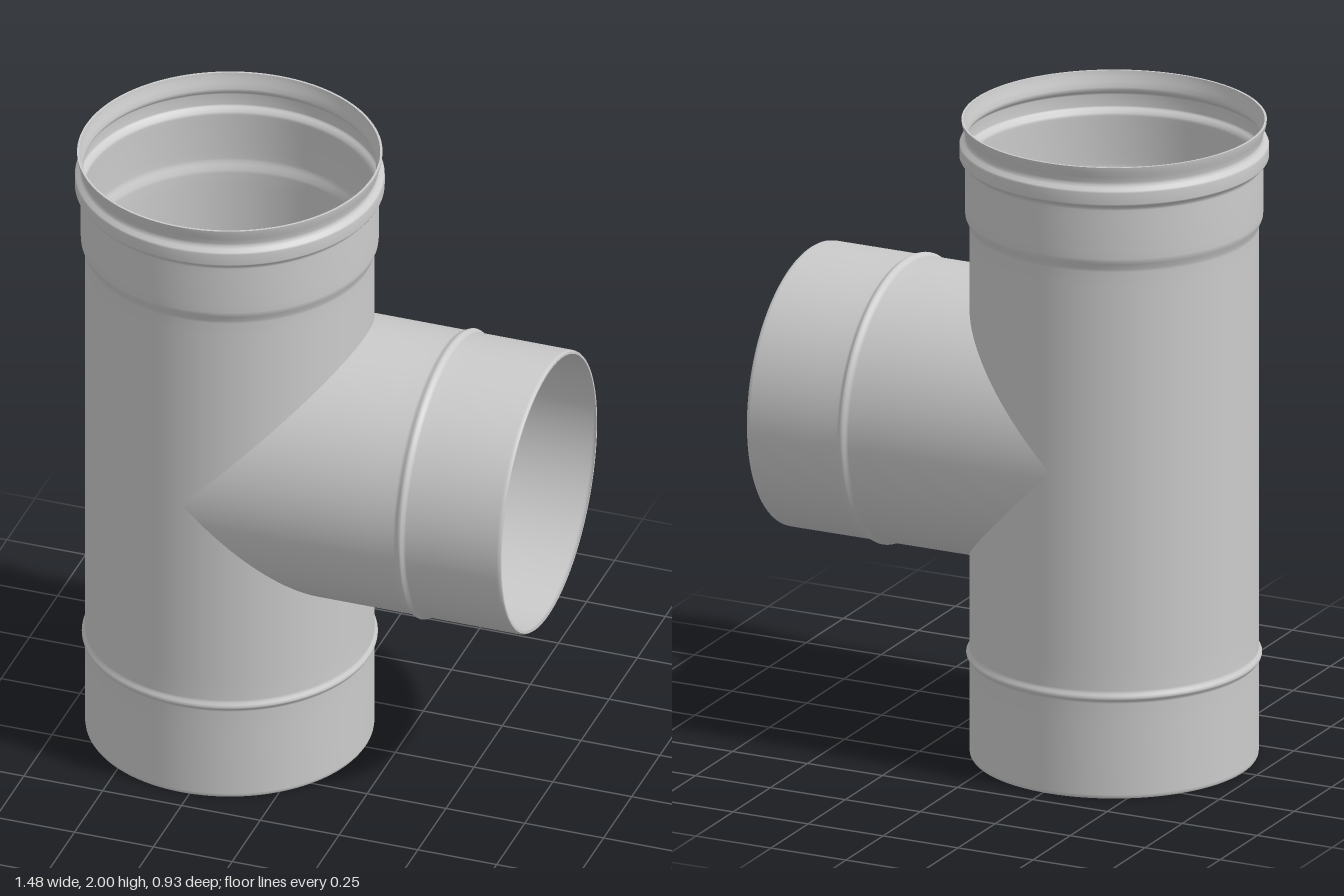
import * as THREE from 'three';

const R = 0.4325;       // pipe radius
const WALL = 0.007;     // sheet thickness
const AXIS_X = -0.275;  // vertical pipe axis
const AXIS_Y = 1.0125;  // branch axis height
const SEGMENTS = 128;

// Profiles as [radius, distance from the crossing of the two axes].
// The first point sits at the crossing and is moved onto the mitre.
const spigotProfile = [
  [R, 0], [R, 0.6], [R, 0.672], [R + 0.002, 0.68], [R + 0.007, 0.686],
  [R + 0.01, 0.693], [R + 0.008, 0.699], [R + 0.002, 0.705], [R, 0.712],
  [R, 0.78], [R, 1.0], [R - 0.001, 1.008], [R - 0.004, 1.0125],
];
const socketProfile = [
  [R, 0], [R, 0.6], [R, 0.65], [R + 0.002, 0.66], [R + 0.008, 0.676],
  [R + 0.012, 0.685], [R + 0.013, 0.695], [R + 0.013, 0.72], [R + 0.013, 0.83],
  [R + 0.011, 0.848], [R + 0.013, 0.857], [R + 0.022, 0.865],
  [R + 0.028, 0.869], [R + 0.0305, 0.874], [R + 0.0305, 0.909],
  [R + 0.028, 0.915], [R + 0.017, 0.922], [R + 0.012, 0.93],
  [R + 0.012, 0.938], [R + 0.016, 0.955], [R + 0.022, 0.972], [R + 0.024, 0.9875],
];

// Thin-walled pipe along +y; mitre(x) gives the height where its wall begins
function pipe(name, profile, mitre) {
  const outer = profile.map(([r, u]) => new THREE.Vector2(r, u));
  const inner = profile.map(([r, u]) => new THREE.Vector2(r - WALL, u)).reverse();
  // doubled end points keep the rim crisp
  const rim = [outer[outer.length - 1].clone(), inner[0].clone()];
  const points = [...outer, ...rim, ...inner];
  const geometry = new THREE.LatheGeometry(points, SEGMENTS);
  const pos = geometry.attributes.position;
  for (let i = 0; i < pos.count; i++) {
    const row = i % points.length;
    if (row === 0 || row === points.length - 1) pos.setY(i, mitre(pos.getX(i)));
  }
  const material = new THREE.MeshStandardMaterial({ color: 0xcccccc, side: THREE.DoubleSide });
  const mesh = new THREE.Mesh(geometry, material);
  mesh.name = name;
  mesh.position.set(AXIS_X, AXIS_Y, 0);
  return mesh;
}

export function createModel() {
  const group = new THREE.Group();
  group.name = 'pipeTee';

  // The vertical pipe is cut away only on the branch side
  const runCut = (x) => Math.max(0, x);

  const upper = pipe('upperSocket', socketProfile, runCut);

  const lower = pipe('lowerSpigot', spigotProfile, runCut);
  lower.rotation.x = Math.PI;

  // The branch points to +x and is cut to a V
  const branch = pipe('branchSpigot', spigotProfile, Math.abs);
  branch.rotation.z = -Math.PI / 2;

  group.add(upper, lower, branch);
  return group;
}
